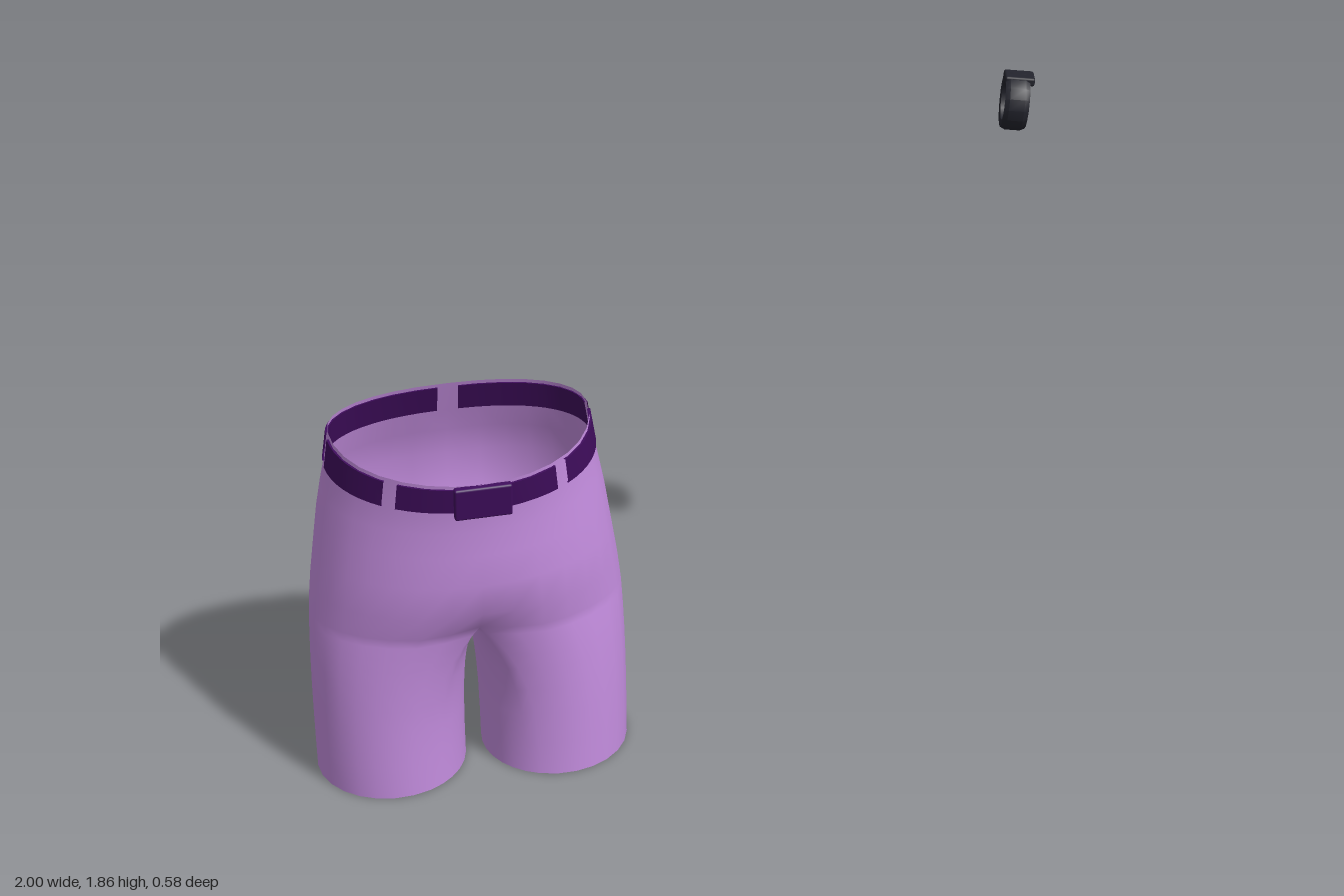
import * as THREE from 'three';
import { mergeVertices, toCreasedNormals } from 'three/addons/utils/BufferGeometryUtils.js';
import { RoundedBoxGeometry } from 'three/addons/geometries/RoundedBoxGeometry.js';

const { lerp, degToRad, clamp } = THREE.MathUtils;
const HIP = 0.52, WAIST = 1.047, SIDE_Z = -0.03;
const SEGS = 32, INNER = 12;

// Torso sections: height, half width, front z, back z, front dip, back cleft
const SECTIONS = [
  [HIP, 0.43, 0.225, -0.268, 0.05, 0.055],
  [0.6, 0.42, 0.255, -0.29, 0.015, 0.04],
  [0.7, 0.405, 0.262, -0.297, 0, 0.025],
  [0.8, 0.39, 0.262, -0.288, 0, 0.015],
  [0.88, 0.375, 0.263, -0.258, 0, 0.006],
  [0.95, 0.36, 0.268, -0.225, 0, 0],
  [WAIST, 0.345, 0.283, -0.19, 0, 0],
];

// Point on the torso at an angle and height, optionally pushed outward
function torsoPoint(angle, y, out = 0) {
  let i = 0;
  while (i < SECTIONS.length - 2 && y > SECTIONS[i + 1][0]) i++;
  const A = SECTIONS[i], B = SECTIONS[i + 1];
  const f = (y - A[0]) / (B[0] - A[0]);
  const [, rx, zf, zb, dip, cleft] = A.map((v, k) => lerp(v, B[k], f));
  const c = Math.cos(angle), s = Math.sin(angle);
  const p = s < 0 ? 0.87 : 1;
  const pw = (v) => Math.sign(v) * Math.abs(v) ** p;
  const x = (rx + out) * pw(c);
  let z = SIDE_Z + ((s > 0 ? zf - SIDE_Z : SIDE_Z - zb) + out) * pw(s);
  z += s > 0 ? -dip * Math.exp(-((x / 0.1) ** 2)) : cleft * Math.exp(-((x / 0.08) ** 2));
  const tilt = clamp((y - 0.7) / (WAIST - 0.7), 0, 1);
  return [x, y - 0.11 * z * tilt, z];
}

// Joins rows of points into one indexed surface; several patches can be welded
function surface(patches) {
  const pos = [], idx = [];
  for (const { rows, closed, flip } of patches) {
    const base = pos.length / 3, n = rows[0].length;
    rows.forEach((r) => r.forEach((p) => pos.push(...p)));
    for (let j = 0; j < rows.length - 1; j++) {
      for (let i = 0; i < (closed ? n : n - 1); i++) {
        const a = base + j * n + i, b = base + j * n + ((i + 1) % n);
        const c = b + n, d = a + n;
        if (flip) idx.push(a, c, b, a, d, c);
        else idx.push(a, b, c, a, c, d);
      }
    }
  }
  const g = new THREE.BufferGeometry();
  g.setAttribute('position', new THREE.Float32BufferAttribute(pos, 3));
  g.setIndex(idx);
  const welded = mergeVertices(g, 1e-4);
  welded.computeVertexNormals();
  return welded;
}

// Ring round the left leg: a circle at the hem that blends into half the hips and the crotch seam
function legRing(t, shrink = 0) {
  const ring = [], e = t ** 3, cx = 0.2325, cz = -0.028, r = 0.2075;
  const front = torsoPoint(Math.PI / 2, HIP)[2], back = torsoPoint(-Math.PI / 2, HIP)[2];
  for (let k = 0; k < SEGS / 2 + INNER; k++) {
    let theta, hip;
    if (k <= SEGS / 2) {
      const a = Math.PI / 2 - (2 * Math.PI * k) / SEGS;
      theta = a * 1.25;
      hip = torsoPoint(a, HIP);
    } else {
      const u = (k - SEGS / 2) / INNER;
      theta = degToRad(-112.5 - 135 * u);
      hip = [0, HIP - 0.07 * Math.sin(Math.PI * u), lerp(back, front, u)];
    }
    const x = lerp(cx + r * Math.cos(theta), hip[0], e);
    const z = lerp(cz + r * Math.sin(theta), hip[2], e);
    ring.push([lerp(x, cx, shrink), lerp(0.005, hip[1], t), lerp(z, cz, shrink)]);
  }
  return ring;
}

const mirror = (rows) => rows.map((r) => r.map(([x, y, z]) => [-x, y, z]));

// Belt piece between two angles: a thin plate through the waistband
function beltPiece(from, to) {
  const n = Math.ceil((to - from) / 6), y0 = 0.955, y1 = 1.036, d = 0.0045;
  const rows = [];
  for (let i = 0; i <= n; i++) {
    const a = degToRad(lerp(from, to, i / n));
    rows.push([[y0, d], [y1, d], [y1, -d], [y0, -d]].map(([y, o]) => torsoPoint(a, y, o)));
  }
  return toCreasedNormals(surface([{ rows, closed: true, flip: true }]), 0.7);
}

export function createModel() {
  const lilac = new THREE.MeshStandardMaterial({ color: 0xc58ee0, side: THREE.DoubleSide });
  lilac.name = 'lilac cloth';
  const purple = new THREE.MeshStandardMaterial({ color: 0x3f0d5c, side: THREE.DoubleSide });
  purple.name = 'dark purple belt';
  const black = new THREE.MeshStandardMaterial({ color: 0x23242d });
  black.name = 'black band';

  const model = new THREE.Group();
  const add = (parent, name, geometry, material) => {
    const m = new THREE.Mesh(geometry, material);
    m.name = name;
    parent.add(m);
    return m;
  };

  // Shorts: hips and two legs welded into one smooth cloth
  const shorts = new THREE.Group();
  shorts.name = 'shorts';
  shorts.position.x = -0.5625;
  model.add(shorts);
  const torso = SECTIONS.map(([y]) => Array.from({ length: SEGS }, (_, k) =>
    torsoPoint(Math.PI / 2 - (2 * Math.PI * k) / SEGS, y)));
  const leg = [0, 0.2, 0.4, 0.55, 0.7, 0.8, 0.88, 0.95, 1].map((t) => legRing(t));
  add(shorts, 'shortsCloth', surface([
    { rows: torso, closed: true },
    { rows: leg, closed: true },
    { rows: mirror(leg), closed: true, flip: true },
  ]), lilac);

  // Thick hems with a lining that runs up inside each leg
  const lining = [legRing(0), ...[0, 0.3, 0.6, 0.9].map((t) => legRing(t, 0.18 * (1 - t)))];
  const hem = (rows, flip) => toCreasedNormals(surface([{ rows, closed: true, flip }]), 0.8);
  add(shorts, 'leftHem', hem(lining, true), lilac);
  add(shorts, 'rightHem', hem(mirror(lining), false), lilac);

  // Belt, broken by five cloth loops
  const belt = new THREE.Group();
  belt.name = 'belt';
  shorts.add(belt);
  const loops = [0, 51, 129, 180, 270, 360];
  for (let i = 0; i < 5; i++) {
    add(belt, 'beltPiece', beltPiece(loops[i] + 3.2, loops[i + 1] - 3.2), purple);
  }
  const buckle = add(belt, 'buckle', new RoundedBoxGeometry(0.15, 0.095, 0.022, 2, 0.006), purple);
  buckle.position.set(0.005, 0.967, 0.281);
  buckle.rotation.x = 0.12;

  // Wristband floating at the left hand, with a broad face on top
  const wristband = new THREE.Group();
  wristband.name = 'wristband';
  wristband.position.set(0.945, 1.785, -0.037);
  wristband.rotation.set(0, -0.3, -0.06);
  model.add(wristband);
  const profile = [[0.052, -0.03], [0.07, -0.032], [0.076, -0.02], [0.076, 0.02],
    [0.07, 0.032], [0.052, 0.03], [0.052, -0.03]].map(([x, y]) => new THREE.Vector2(x, y));
  const band = new THREE.LatheGeometry(profile, 16);
  band.rotateZ(Math.PI / 2);
  add(wristband, 'band', toCreasedNormals(band, 0.5), black);
  const face = add(wristband, 'face', new RoundedBoxGeometry(0.078, 0.022, 0.062, 2, 0.006), black);
  face.position.set(0.004, 0.064, 0);

  return model;
}
